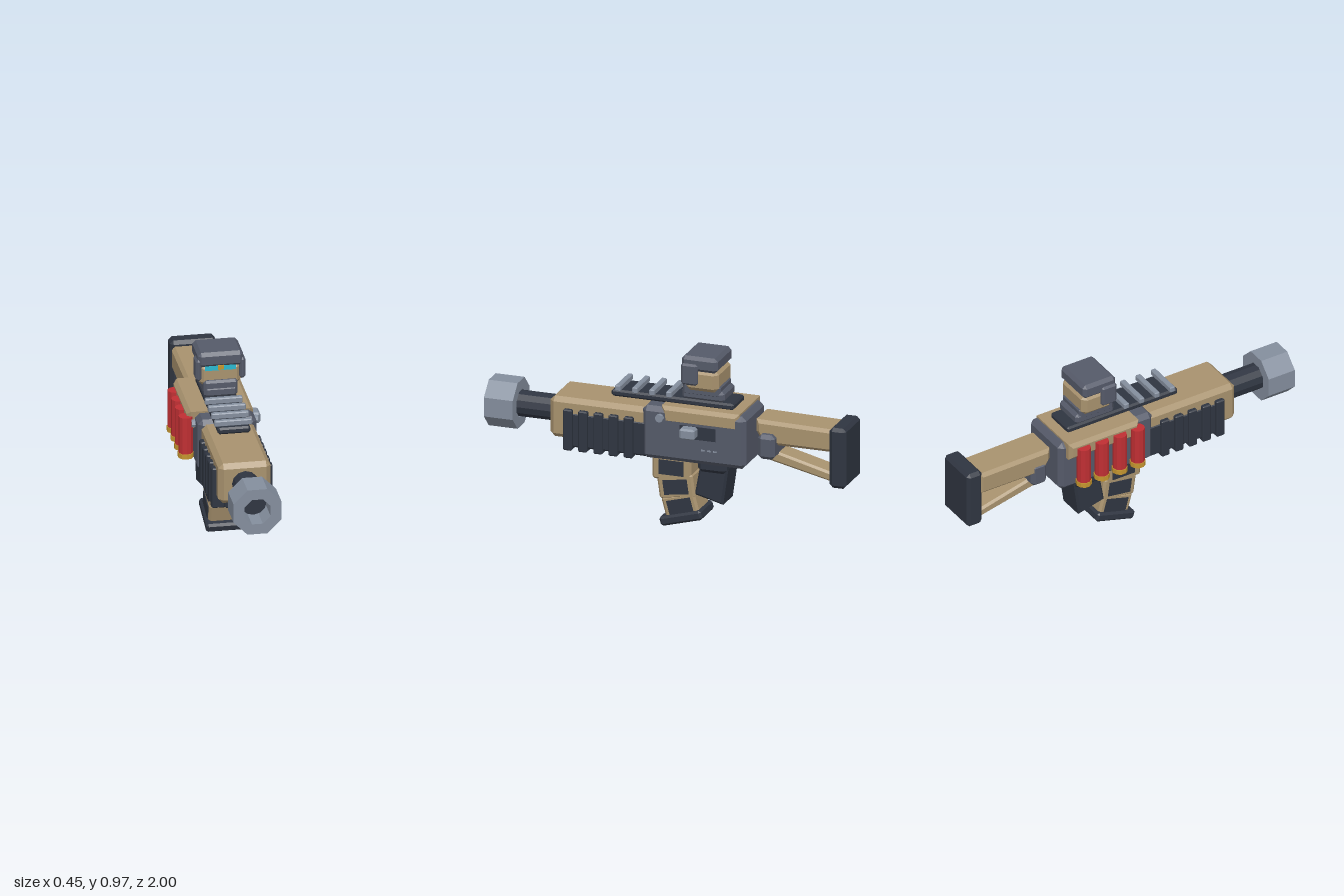
import * as THREE from 'three';
import { ConvexGeometry } from 'three/addons/geometries/ConvexGeometry.js';

const mat = (name, color) => {
  const m = new THREE.MeshStandardMaterial({ color, flatShading: true });
  m.name = name;
  return m;
};

export function createModel() {
  const root = new THREE.Group();
  root.name = 'blaster';
  const body = new THREE.Group();
  body.name = 'body';
  body.position.x = 0.0125;
  root.add(body);

  const tan = mat('tan', 0xa8926e);
  const slate = mat('slate', 0x555a69);
  const dark = mat('charcoal', 0x2f3541);
  const steel = mat('steel', 0x848e9d);
  const red = mat('red', 0xbf2f33);
  const gold = mat('gold', 0xc4952f);
  const cyan = mat('cyan', 0x2bb8d0);

  const add = (name, geo, material) => {
    const m = new THREE.Mesh(geo, material);
    m.name = name;
    body.add(m);
    return m;
  };

  // Chamfered box from its ranges: x0..x1, y0..y1, z0..z1
  const box = (name, material, [x0, x1], [y0, y1], [z0, z1], b = 0.015) => {
    const h = [(x1 - x0) / 2, (y1 - y0) / 2, (z1 - z0) / 2];
    const pts = [];
    for (const sx of [-1, 1]) for (const sy of [-1, 1]) for (const sz of [-1, 1]) {
      for (let axis = 0; axis < 3; axis++) {
        const p = h.map((v, i) => (i === axis ? v : v - b));
        pts.push(new THREE.Vector3(p[0] * sx, p[1] * sy, p[2] * sz));
      }
    }
    const geo = b > 0 ? new ConvexGeometry(pts) : new THREE.BoxGeometry(h[0] * 2, h[1] * 2, h[2] * 2);
    const m = add(name, geo, material);
    m.position.set((x0 + x1) / 2, (y0 + y1) / 2, (z0 + z1) / 2);
    return m;
  };
  const sym = (w) => [-w, w];

  // Side outline of [z, y] points, extruded across x with chamfered edges
  const profile = (name, material, pts, half, b = 0.015) => {
    const shape = new THREE.Shape(pts.map(([z, y]) => new THREE.Vector2(-z, y)));
    const geo = new THREE.ExtrudeGeometry(shape, {
      depth: 2 * (half - b), bevelEnabled: true, bevelSegments: 1,
      bevelSize: b, bevelThickness: b, bevelOffset: -b,
    });
    geo.translate(0, 0, b - half).rotateY(Math.PI / 2).translate(0, 0, 0);
    geo.translate(-b, 0, 0);
    return add(name, geo, material);
  };

  // Muzzle and barrel
  const octagon = (r) => Array.from({ length: 8 }, (_, i) => {
    const a = Math.PI / 8 + i * Math.PI / 4;
    return new THREE.Vector2(r * Math.cos(a), r * Math.sin(a));
  });
  const ring = new THREE.Shape(octagon(0.1365));
  ring.holes.push(new THREE.Path(octagon(0.075)));
  add('muzzle', new THREE.ExtrudeGeometry(ring, { depth: 0.16, bevelEnabled: false }), steel)
    .position.set(0, 0.555, 0.84);
  const barrel = add('barrel', new THREE.CylinderGeometry(0.07, 0.07, 0.3, 12), dark);
  barrel.rotation.x = Math.PI / 2;
  barrel.position.set(0, 0.555, 0.73);

  // Handguard with ribbed grip sleeve
  box('handguard', tan, sym(0.138), [0.44, 0.665], [0.06, 0.635], 0.025);
  box('gripSleeve', dark, sym(0.143), [0.4, 0.59], [0.09, 0.545], 0.01);
  box('lowerRail', dark, sym(0.095), [0.387, 0.43], [0.08, 0.57], 0.008);
  for (let i = 0; i < 5; i++) {
    const z = 0.19 + i * 0.084;
    box('gripRib', dark, sym(0.161), [0.385, 0.61], [z - 0.025, z + 0.025], 0.006);
  }

  // Receiver and its cover
  box('receiver', slate, sym(0.155), [0.395, 0.685], [-0.457, 0.118], 0.025);
  profile('topCover', tan, [[0.01, 0.695], [0.0, 0.6], [-0.42, 0.6], [-0.42, 0.695]], 0.176, 0.02);
  box('ejectionPort', dark, [0.14, 0.159], [0.535, 0.605], [-0.295, -0.095], 0);
  box('boltHandle', steel, [0.15, 0.213], [0.545, 0.605], [-0.195, -0.11], 0.01);
  for (const s of [-1, 1]) {
    const pin = add('pin', new THREE.CylinderGeometry(0.022, 0.022, 0.04, 8), steel);
    pin.rotation.z = Math.PI / 2;
    pin.position.set(s * 0.155, 0.632, 0.013);
  }
  for (let i = 0; i < 3; i++) {
    const z = -0.225 - i * 0.033;
    box('sideMark', steel, [0.152, 0.158], [0.475, 0.483], [z - 0.01, z + 0.01], 0);
  }

  // Top rail with cross bars
  box('topRail', dark, sym(0.086), [0.69, 0.727], [-0.367, 0.31], 0.01);
  for (let i = 0; i < 4; i++) {
    const z = 0.27 - i * 0.094;
    box('railBar', steel, sym(0.099), [0.724, 0.757], [z - 0.015, z + 0.015], 0.005);
  }

  // Helmeted head on the rail
  box('headBase', slate, sym(0.088), [0.725, 0.785], [-0.315, -0.08], 0.015);
  box('chinGuard', slate, sym(0.09), [0.75, 0.817], [-0.295, -0.085], 0.012);
  box('face', tan, sym(0.113), [0.78, 0.905], [-0.288, -0.105], 0.025);
  box('helmet', slate, sym(0.12), [0.893, 0.975], [-0.288, -0.088], 0.018);
  for (const s of [-1, 1]) {
    box('cheekGuard', slate, s > 0 ? [0.1, 0.131] : [-0.131, -0.1], [0.818, 0.937], [-0.182, -0.09], 0.012);
  }
  box('eyeStrip', cyan, sym(0.082), [0.872, 0.898], [-0.107, -0.099], 0);
  box('browBadge', gold, sym(0.015), [0.88, 0.903], [-0.1, -0.086], 0);

  // Curved magazine: three tilted segments with side panels, then a base plate
  const segments = [[-0.022, 0.332, 0.215, 0.145, 0], [-0.046, 0.229, 0.2, 0.13, 0.14], [-0.07, 0.125, 0.19, 0.125, 0.27]];
  segments.forEach(([z, y, length, height, tilt], i) => {
    const part = box('magazineSegment', tan, sym(0.082), [y - height / 2, y + height / 2],
      [z - length / 2, z + length / 2], 0.012);
    part.rotation.x = tilt;
    for (const s of [-1, 1]) {
      const panel = add('magazinePanel', new THREE.BoxGeometry(0.008, 0.08, 0.135), dark);
      panel.position.set(s * 0.083, y, z);
      panel.rotation.x = tilt;
    }
  });
  box('magazineBase', dark, sym(0.099), [0.036, 0.088], [-0.196, 0.042], 0.012).rotation.x = 0.27;

  // Rear grip
  profile('rearGrip', dark, [[-0.185, 0.42], [-0.145, 0.195], [-0.302, 0.155], [-0.34, 0.42]], 0.084, 0.012);
  box('gripCollar', dark, sym(0.122), [0.342, 0.42], [-0.338, -0.178], 0.02);

  // Shoulder stock
  profile('stockBar', tan, [[-0.488, 0.657], [-0.488, 0.59], [-0.53, 0.525], [-0.92, 0.525], [-0.92, 0.65]], 0.098, 0.018);
  profile('stockStrut', tan, [[-0.525, 0.5], [-0.525, 0.437], [-0.92, 0.348], [-0.92, 0.4]], 0.065, 0.012);
  box('stockBracket', slate, sym(0.122), [0.455, 0.59], [-0.605, -0.51], 0.02);
  box('buttPlate', dark, sym(0.122), [0.345, 0.678], [-1, -0.908], 0.018);

  // Row of shells along the right side
  for (let i = 0; i < 4; i++) {
    const z = -0.01 - i * 0.11;
    add('shell', new THREE.CylinderGeometry(0.038, 0.038, 0.207, 10), red).position.set(-0.2, 0.5635, z);
    add('shellBase', new THREE.CylinderGeometry(0.042, 0.042, 0.027, 10), gold).position.set(-0.2, 0.4485, z);
  }
  return root;
}
